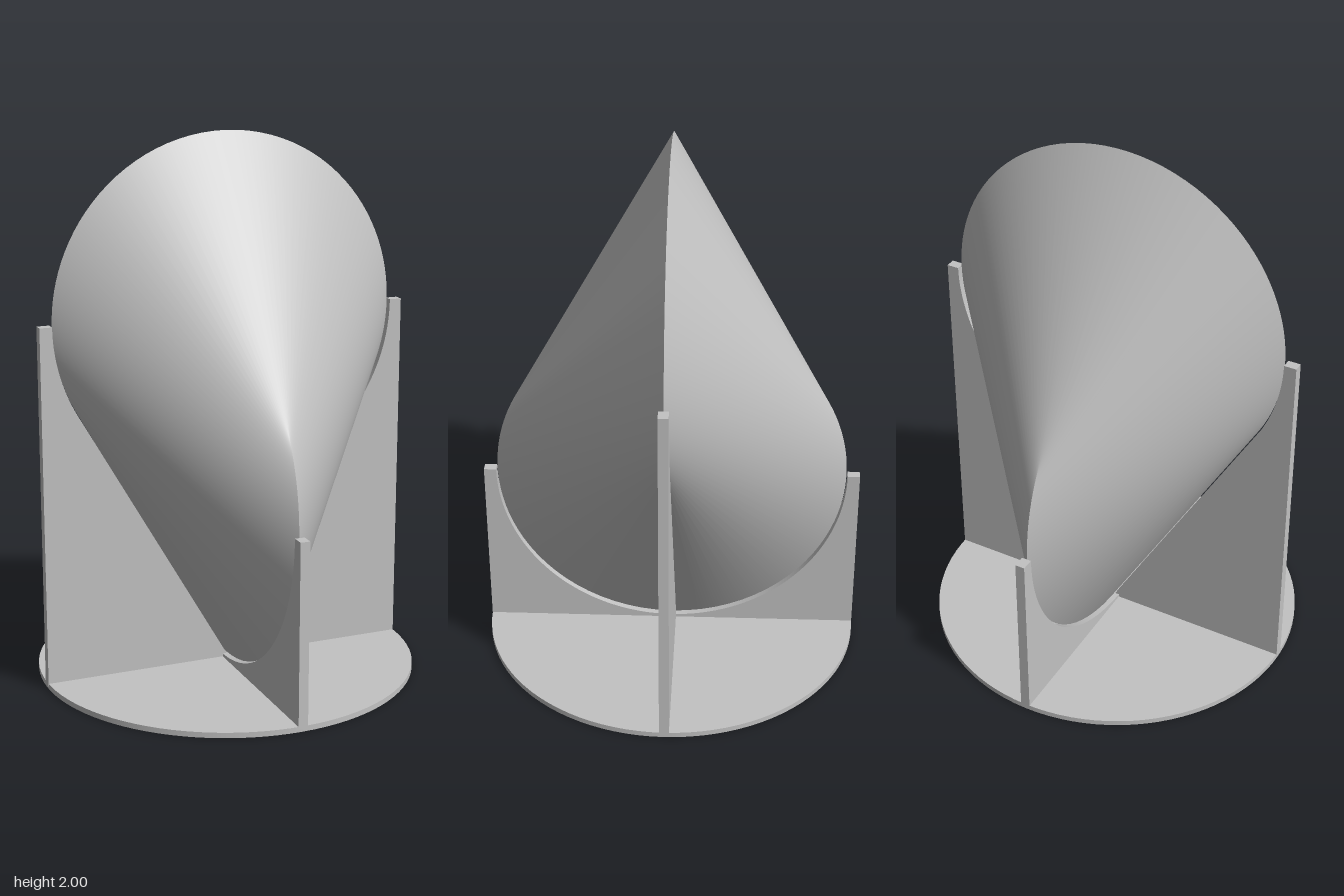
import * as THREE from 'three';

const R = 0.655;      // radius of both generating circles
const MID = 1.0175;   // height of the solid's centre
const RIM = 0.705;    // radius of the stand
const THICK = 0.036;  // thickness of the ribs
const GAP = 0.004;    // clearance between ribs and solid

// Hull of two perpendicular circles, swept by straight rulings in one closed loop
function rolledSolid() {
  const n = 192;
  const positions = [];
  const index = [];
  for (let i = 0; i < n; i++) {
    const u = (i / n) * Math.PI * 2;
    const t = (2 * Math.PI / 3) * Math.sin(u);
    const c = Math.cos(t);
    const z = Math.sign(Math.cos(u)) * Math.sqrt(Math.max(0, 1 + 2 * c)) / (1 + c);
    positions.push(R * Math.sin(t), MID + R * (0.5 + c), 0);
    positions.push(0, MID + R * (c / (1 + c) - 0.5), R * z);
    const a = 2 * i, next = 2 * ((i + 1) % n);
    index.push(a, a + 1, next, next, a + 1, next + 1);
  }
  const g = new THREE.BufferGeometry();
  g.setAttribute('position', new THREE.Float32BufferAttribute(positions, 3));
  g.setIndex(index);
  g.computeVertexNormals();
  return g;
}

// Rib plate: outer edge at the rim, inner edge an arc, then a line to the axis
function ribGeometry(centreY, endAngle, endY) {
  const s = new THREE.Shape();
  s.moveTo(0, 0.01);
  s.lineTo(RIM, 0.01);
  s.lineTo(RIM, centreY);
  s.lineTo(R + GAP, centreY);
  s.absarc(0, centreY, R + GAP, 0, endAngle, true);
  s.lineTo(0, endY);
  const g = new THREE.ExtrudeGeometry(s, { depth: THICK, bevelEnabled: false, curveSegments: 40 });
  return g.translate(0, 0, -THICK / 2);
}

export function createModel() {
  const model = new THREE.Group();
  const grey = new THREE.MeshStandardMaterial({ color: 0xc2c2c2 });
  grey.name = 'light grey';
  const add = (name, geometry, turn = 0) => {
    const mesh = new THREE.Mesh(geometry, grey);
    mesh.name = name;
    mesh.rotation.y = turn;
    model.add(mesh);
  };

  add('rollingSolid', rolledSolid());

  // Round base plate
  add('basePlate', new THREE.CylinderGeometry(RIM, RIM, 0.02, 96).translate(0, 0.01, 0));

  // Two tall ribs at the sides, two short ones at front and back
  const tall = ribGeometry(MID + R / 2, -Math.PI / 6, MID - 1.5 * R - 2 * GAP);
  const short = ribGeometry(MID - R / 2, -Math.PI / 2, MID - 1.5 * R - GAP);
  add('leftRib', tall);
  add('rightRib', tall, Math.PI);
  add('frontRib', short, -Math.PI / 2);
  add('backRib', short, Math.PI / 2);

  return model;
}
